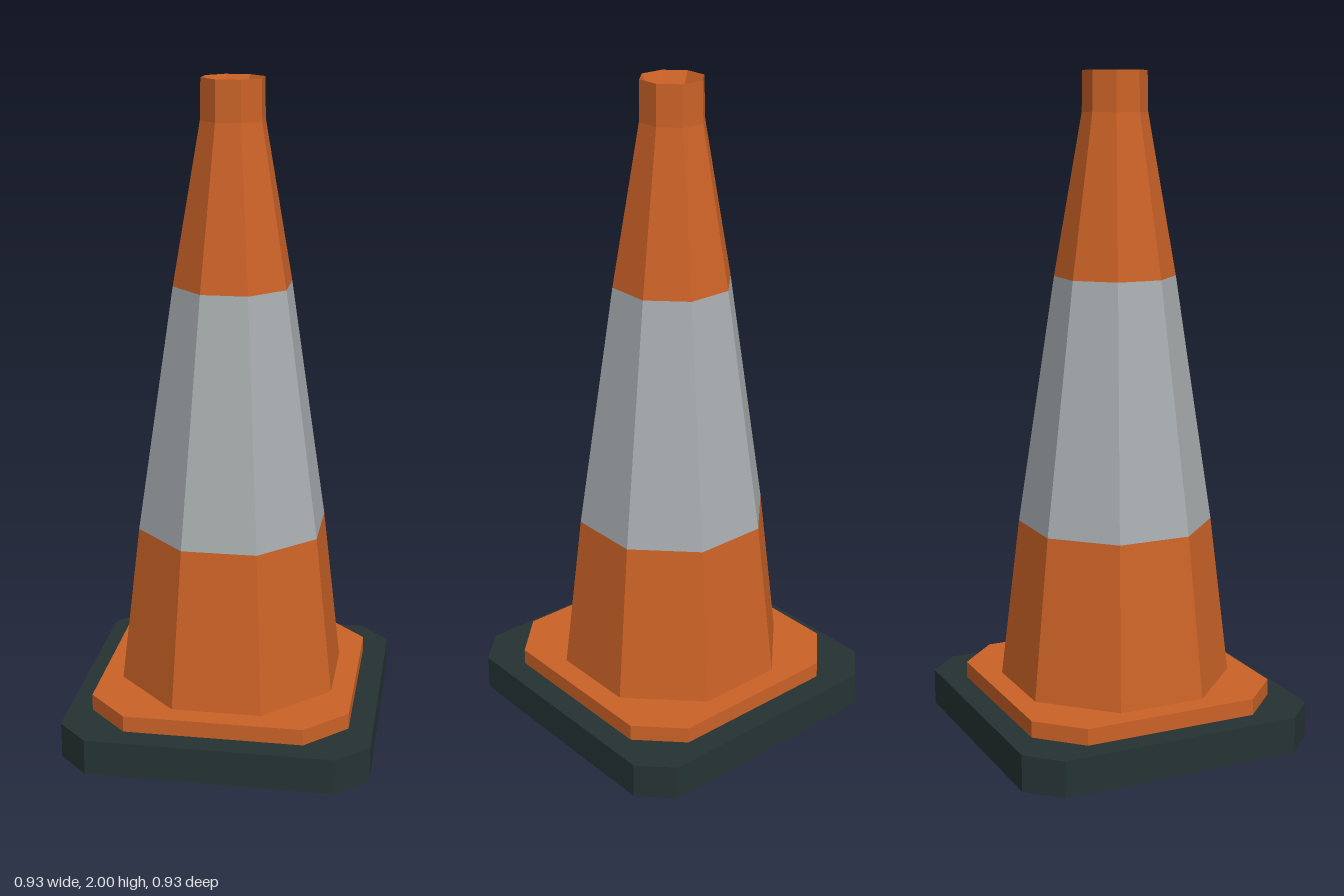
import * as THREE from 'three';

const orange = new THREE.MeshStandardMaterial({ color: 0xcb6227, flatShading: true });
orange.name = 'orange';
const grey = new THREE.MeshStandardMaterial({ color: 0xa8adaf, flatShading: true });
grey.name = 'reflective grey';
const rubber = new THREE.MeshStandardMaterial({ color: 0x263333, flatShading: true });
rubber.name = 'dark rubber';

// Eight-sided ring of walls; each profile point is [distance to the flat, height]
function octagonBand(name, profile, material) {
  const points = profile.map(([d, y]) => new THREE.Vector2(d / Math.cos(Math.PI / 8), y));
  const mesh = new THREE.Mesh(new THREE.LatheGeometry(points, 8, Math.PI / 8), material);
  mesh.name = name;
  return mesh;
}

// Square slab with cut corners: half is the half width, flat is half the straight edge
function slab(name, half, flat, y, height, material) {
  const corners = [[half, flat], [flat, half], [-flat, half], [-half, flat],
    [-half, -flat], [-flat, -half], [flat, -half], [half, -flat]];
  const shape = new THREE.Shape(corners.map(([x, z]) => new THREE.Vector2(x, z)));
  const geometry = new THREE.ExtrudeGeometry(shape, { depth: height, bevelEnabled: false });
  geometry.rotateX(-Math.PI / 2).translate(0, y, 0);
  const mesh = new THREE.Mesh(geometry, material);
  mesh.name = name;
  return mesh;
}

export function createModel() {
  const cone = new THREE.Group();
  cone.name = 'trafficCone';

  // Foot
  cone.add(slab('base', 0.466, 0.373, 0, 0.11, rubber));
  cone.add(slab('flange', 0.393, 0.27, 0.11, 0.05, orange));

  // Tapering body
  cone.add(octagonBand('lowerBody', [[0.326, 0.16], [0.272, 0.65]], orange));
  cone.add(octagonBand('reflectiveBand', [[0.272, 0.65], [0.168, 1.4]], grey));
  cone.add(octagonBand('upperBody', [[0.168, 1.4], [0.09, 1.88]], orange));

  // Neck, with a hollow sinking to a point inside its rim
  cone.add(octagonBand('neck', [[0.09, 1.88], [0.088, 2]], orange));
  cone.add(octagonBand('hollow', [[0.088, 2], [0, 1.8]], orange));

  return cone;
}
